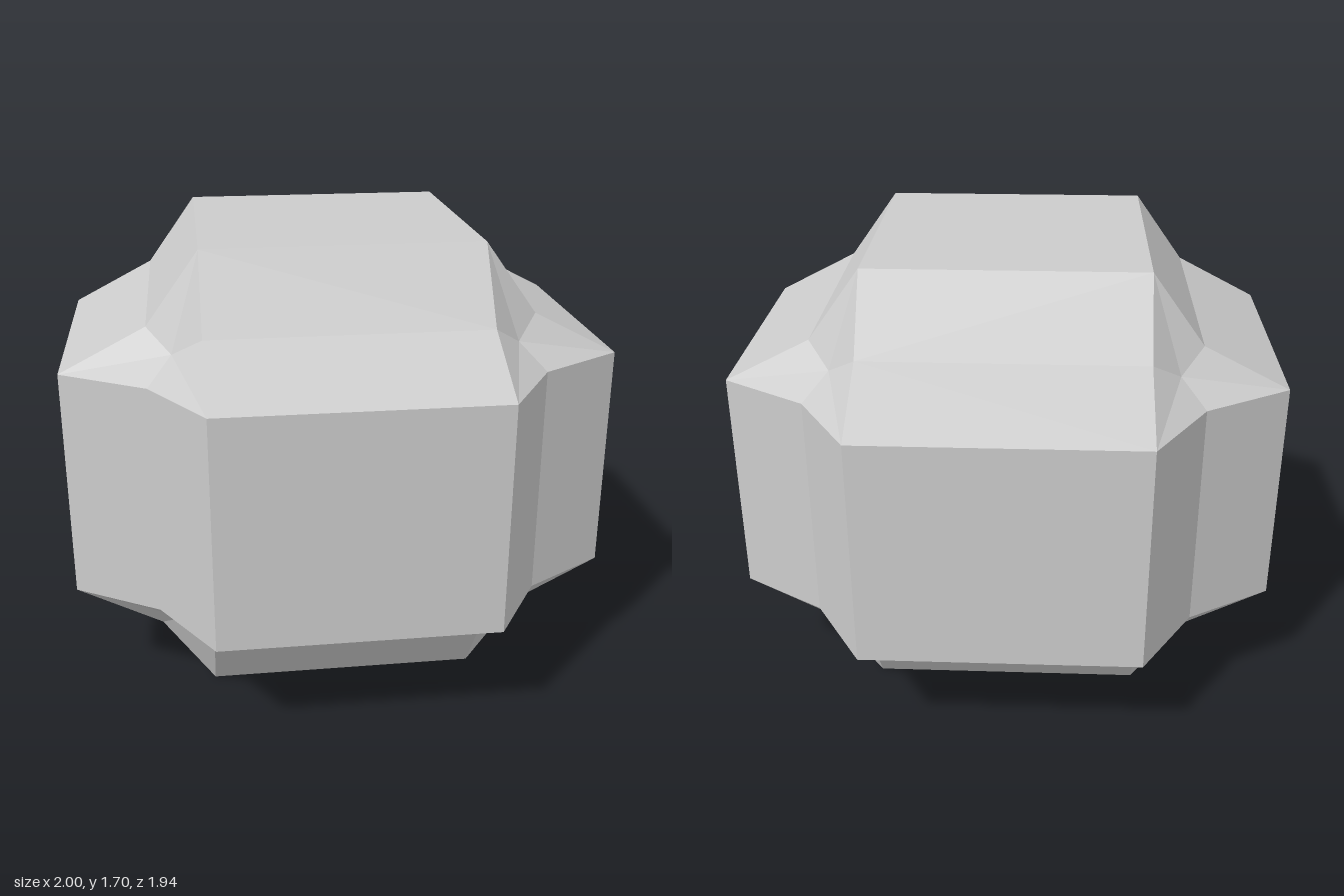
import * as THREE from 'three';

const HALF = [1, 0.848, 0.97]; // half extents in x, y, z
const FACE = 0.5;              // half width of each flat face, as a fraction
const VALLEY = 0.69;           // depth of the groove between two faces
const CORNER = 0.605;          // depth of the dimple at each corner

// Point from values along three axes, the first axis being 'a'
function point(a, u, v, w) {
  const p = [0, 0, 0];
  p[a] = u * HALF[a];
  p[(a + 1) % 3] = v * HALF[(a + 1) % 3];
  p[(a + 2) % 3] = w * HALF[(a + 2) % 3];
  return new THREE.Vector3(...p);
}

// Flat-shaded mesh of quads, each turned to face away from the centre
function quadMesh(name, quads, material) {
  const positions = [];
  for (const [a, b, c, d] of quads) {
    const normal = c.clone().sub(a).cross(d.clone().sub(b));
    const middle = a.clone().add(b).add(c).add(d);
    const order = normal.dot(middle) > 0 ? [a, b, c, a, c, d] : [a, c, b, a, d, c];
    for (const p of order) positions.push(p.x, p.y, p.z);
  }
  const geometry = new THREE.BufferGeometry();
  geometry.setAttribute('position', new THREE.Float32BufferAttribute(positions, 3));
  geometry.computeVertexNormals();
  const mesh = new THREE.Mesh(geometry, material);
  mesh.name = name;
  return mesh;
}

export function createModel() {
  const material = new THREE.MeshStandardMaterial({ color: 0xcccccc, flatShading: true });
  const faces = [], grooves = [], corners = [];
  const signs = [-1, 1];

  for (let a = 0; a < 3; a++) {
    for (const s of signs) {
      // Flat face at the end of the axis
      faces.push([[-1, -1], [1, -1], [1, 1], [-1, 1]].map(([v, w]) => point(a, s, v * FACE, w * FACE)));

      for (const t of signs) {
        // Two slopes meeting in the valley between neighbouring faces
        const valley = [point(a, s * VALLEY, t * VALLEY, -FACE), point(a, s * VALLEY, t * VALLEY, FACE)];
        grooves.push([point(a, s, t * FACE, -FACE), point(a, s, t * FACE, FACE), valley[1], valley[0]]);
        grooves.push([point(a, s * FACE, t, -FACE), point(a, s * FACE, t, FACE), valley[1], valley[0]]);

        // Kite from a face corner down into the corner dimple
        for (const r of signs) {
          corners.push([
            point(a, s, t * FACE, r * FACE),
            point(a, s * VALLEY, t * VALLEY, r * FACE),
            point(a, s * CORNER, t * CORNER, r * CORNER),
            point(a, s * VALLEY, t * FACE, r * VALLEY),
          ]);
        }
      }
    }
  }

  const model = new THREE.Group();
  model.name = 'groovedBlock';
  model.add(
    quadMesh('flatFaces', faces, material),
    quadMesh('edgeGrooves', grooves, material),
    quadMesh('cornerDimples', corners, material),
  );
  model.position.y = HALF[1];
  return model;
}
